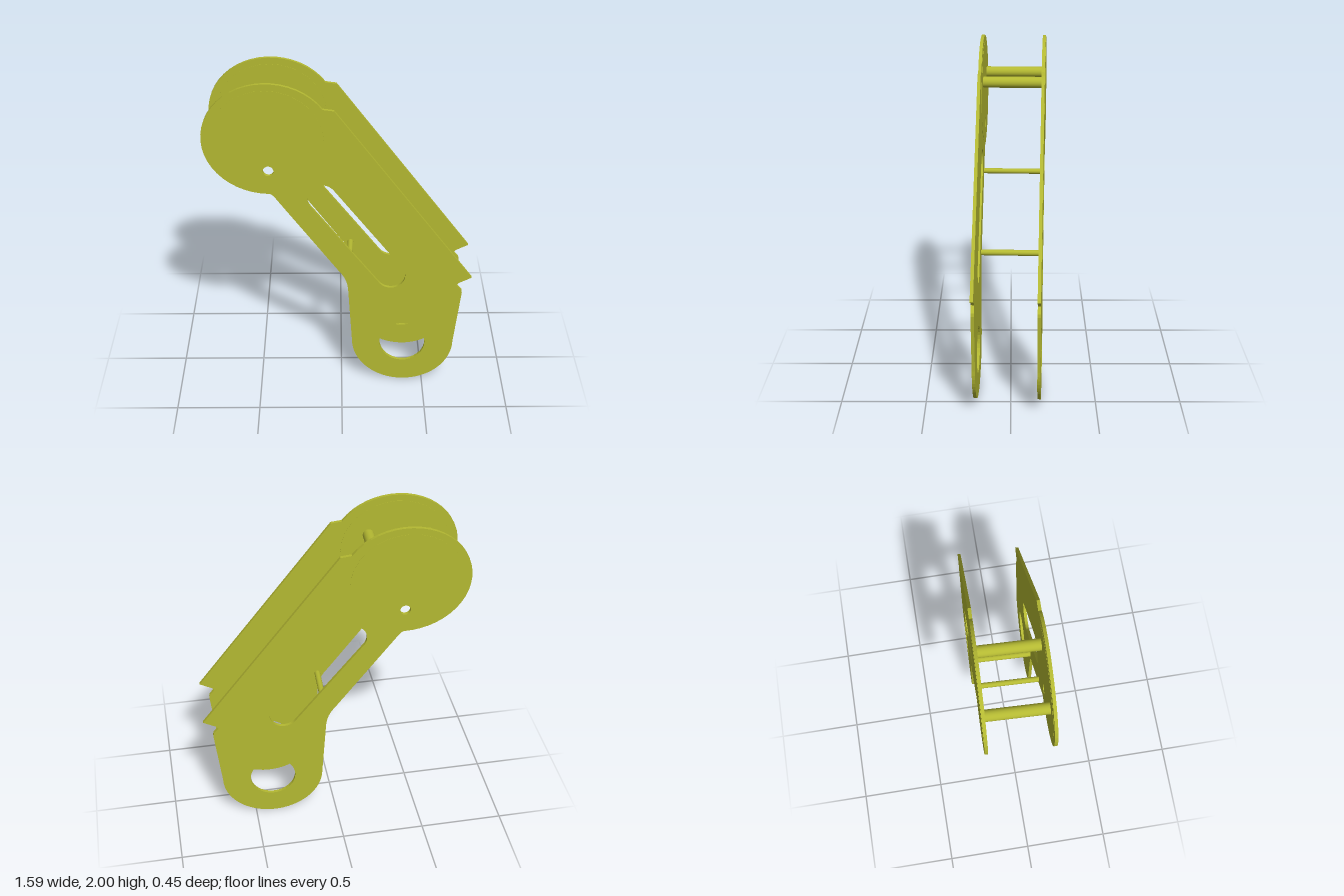
import * as THREE from 'three';

const THICK = 0.019;   // plate thickness
const GAP = 0.187;     // plate centre distance from the middle
const DISC = { x: -0.412, y: 1.656 };

const material = new THREE.MeshStandardMaterial({ color: 0xb4b932 });

// Round hole path
function roundHole(x, y, r) {
  return new THREE.Path().absarc(x, y, r, 0, Math.PI * 2, true);
}

// Slot with rounded ends between two centres
function slotHole(x1, y1, x2, y2, r) {
  const a = Math.atan2(y2 - y1, x2 - x1);
  const p = new THREE.Path();
  p.absarc(x1, y1, r, a + Math.PI / 2, a + Math.PI * 1.5, false);
  p.absarc(x2, y2, r, a - Math.PI / 2, a + Math.PI / 2, false);
  p.closePath();
  return p;
}

// Extrusion centred on z = 0
function slab(shape, depth) {
  const g = new THREE.ExtrudeGeometry(shape, { depth, bevelEnabled: false, curveSegments: 16 });
  return g.translate(0, 0, -depth / 2);
}

// Side plate: round head, sloping arm, rounded foot
function plateGeometry() {
  const s = new THREE.Shape();
  s.absellipse(DISC.x, DISC.y, 0.378, 0.344, 0.6, Math.PI * 1.5, false);
  s.quadraticCurveTo(-0.395, 1.312, -0.37, 1.275);
  s.lineTo(-0.005, 0.785);
  s.quadraticCurveTo(0.043, 0.73, 0.047, 0.65);
  s.lineTo(0.071, 0.29);
  s.absellipse(0.381, 0.29, 0.31, 0.29, Math.PI, Math.PI * 2, false);
  s.lineTo(0.731, 0.65);
  s.lineTo(0.728, 0.67);
  s.lineTo(0.697, 0.705);
  s.lineTo(0.708, 0.72);
  s.lineTo(0.785, 0.76);
  s.lineTo(-0.035, 1.842);
  s.closePath();
  s.holes.push(
    roundHole(0.38, 0.281, 0.139),
    slotHole(-0.107, 1.287, 0.301, 0.766, 0.087),
    roundHole(-0.413, 1.46, 0.031)
  );
  return slab(s, THICK);
}

// Thin raised disc on both faces of the head
function discGeometry() {
  const s = new THREE.Shape();
  s.absellipse(DISC.x - 0.006, DISC.y, 0.325, 0.305, 0, Math.PI * 2, false);
  s.holes.push(roundHole(-0.413, 1.46, 0.031));
  return slab(s, THICK + 0.003);
}

export function createModel() {
  const model = new THREE.Group();
  model.name = 'linkArm';
  const body = new THREE.Group();
  body.name = 'armBody';
  body.rotation.y = -0.038;
  model.add(body);

  // Two matching plates with their head discs
  const plate = plateGeometry();
  const disc = discGeometry();
  for (const [name, z] of [['front', GAP], ['back', -GAP]]) {
    for (const [part, geometry] of [['Plate', plate], ['HeadDisc', disc]]) {
      const mesh = new THREE.Mesh(geometry, material);
      mesh.name = name + part;
      mesh.position.z = z;
      body.add(mesh);
    }
  }

  // Cross rods joining the plates: x, y, radius
  const rods = [
    ['outerHeadRod', -0.612, 1.735, 0.033],
    ['innerHeadRod', -0.255, 1.752, 0.034],
    ['upperArmRod', -0.262, 1.19, 0.016],
    ['lowerArmRod', 0.05, 0.77, 0.018],
  ];
  for (const [name, x, y, r] of rods) {
    const g = new THREE.CylinderGeometry(r, r, GAP * 2, 20).rotateX(Math.PI / 2);
    const rod = new THREE.Mesh(g, material);
    rod.name = name;
    rod.position.set(x, y, 0);
    body.add(rod);
  }
  return model;
}
